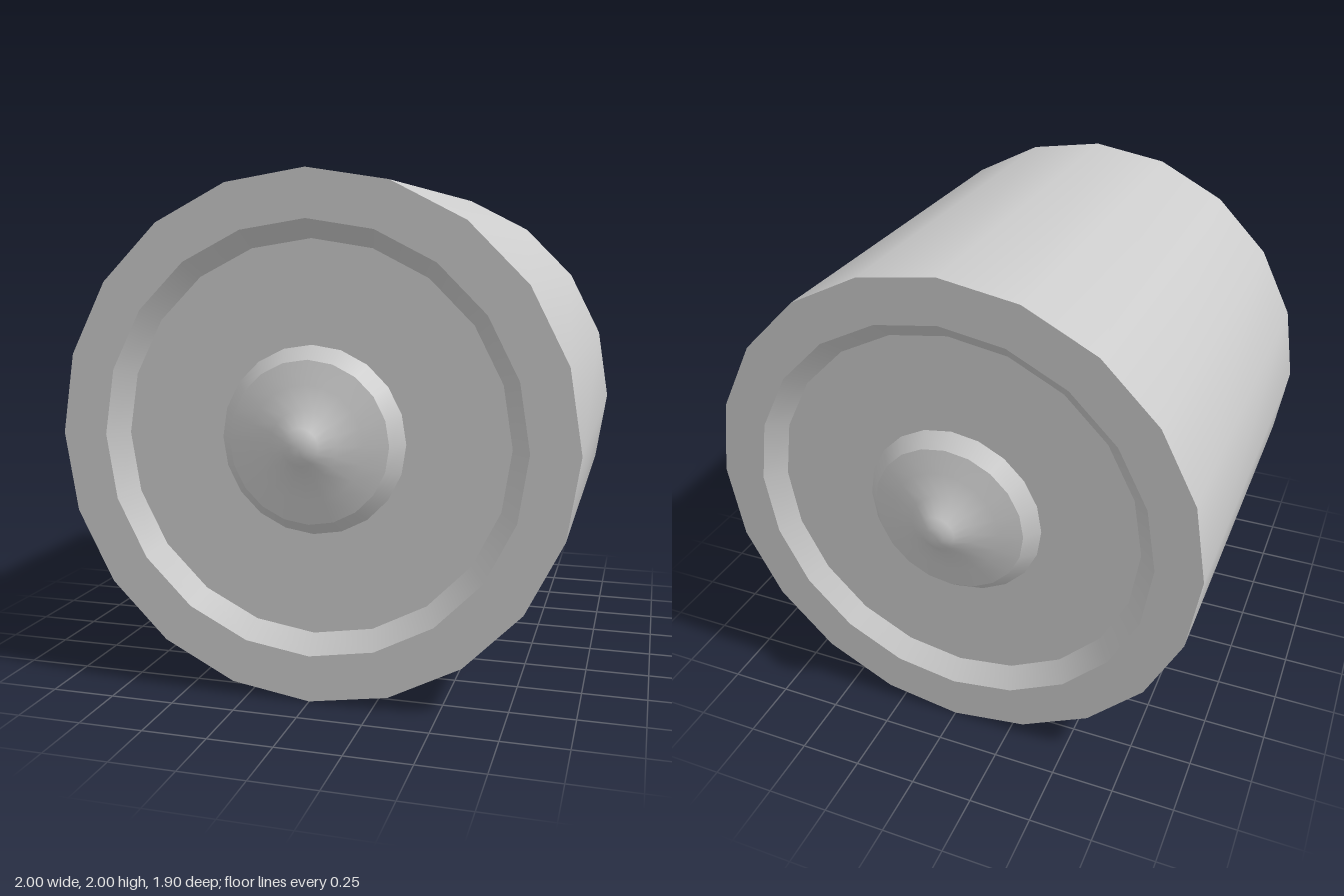
import * as THREE from 'three';

const SIDES = 20;

// Turned surface around the z axis; profile points are [radius, z], from the rim towards the axis.
function turned(name, profile, material) {
  const points = profile.map(([r, z]) => new THREE.Vector2(r, z));
  const geometry = new THREE.LatheGeometry(points, SIDES);
  geometry.rotateX(Math.PI / 2);
  const mesh = new THREE.Mesh(geometry, material);
  mesh.name = name;
  return mesh;
}

// One end of the drum, facing +z: each part meets the next at a sharp edge.
function createEnd(name, material) {
  const parts = {
    rim: [[1, 0.85], [0.82, 0.85]],
    recessWall: [[0.82, 0.85], [0.75, 0.78]],
    recessFloor: [[0.75, 0.78], [0.36, 0.78]],
    hubWall: [[0.36, 0.78], [0.31, 0.838]],
    hubCone: [[0.31, 0.838], [0.22, 0.862], [0.13, 0.888], [0.07, 0.933], [0.035, 0.952], [0, 0.952]],
  };
  const end = new THREE.Group();
  end.name = name;
  for (const [part, profile] of Object.entries(parts)) end.add(turned(part, profile, material));
  return end;
}

export function createModel() {
  const material = new THREE.MeshStandardMaterial({ color: 0xcccccc });
  const model = new THREE.Group();
  model.name = 'drum';

  // Outer wall
  model.add(turned('drumWall', [[1, -0.85], [1, 0.85]], material));

  // Matching front and back ends
  const front = createEnd('frontEnd', material);
  const back = createEnd('backEnd', material);
  back.rotation.y = Math.PI;
  model.add(front, back);

  // Rest the drum on the ground
  for (const child of model.children) child.position.y = 1;
  return model;
}
